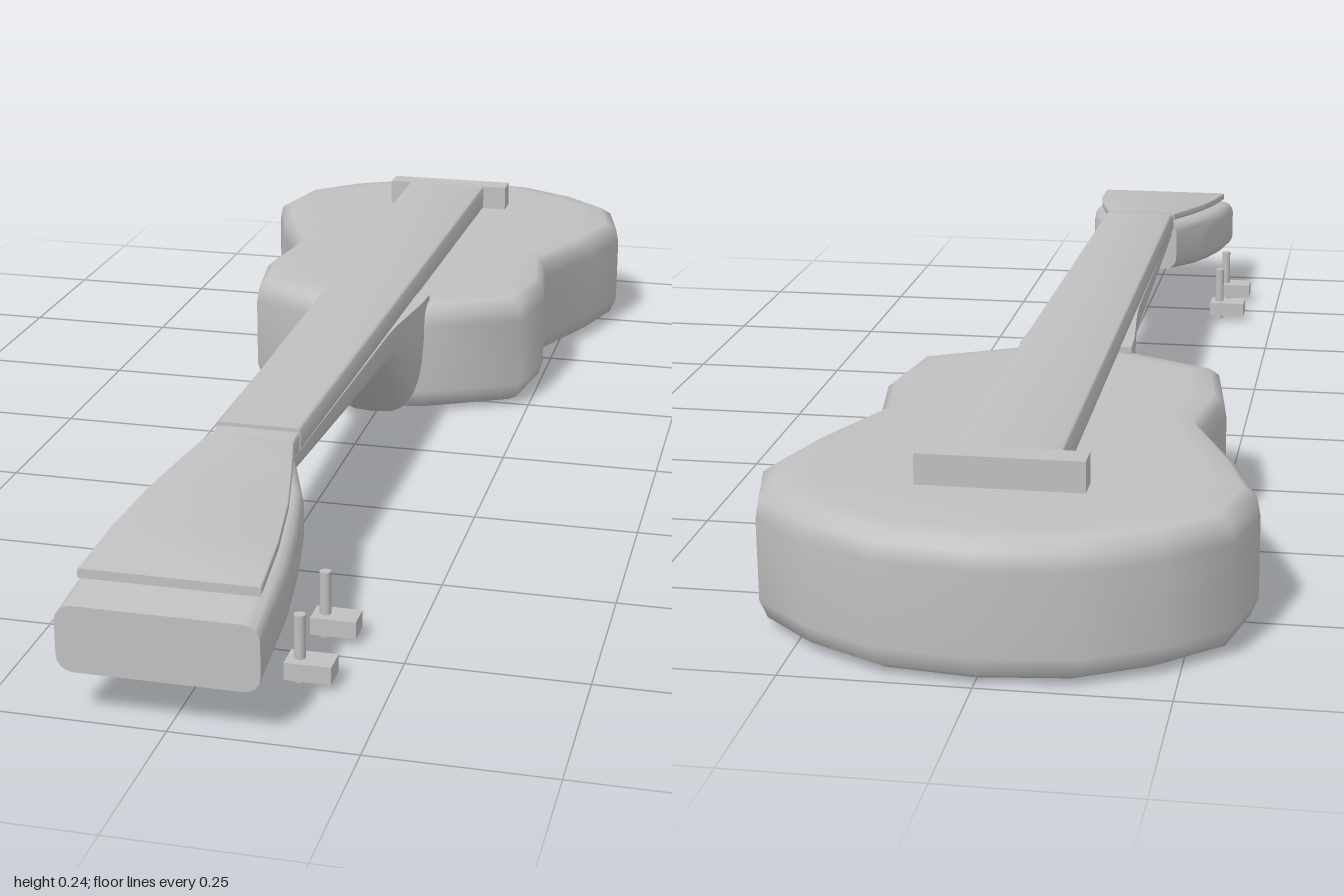
import * as THREE from 'three';
import { toCreasedNormals } from 'three/addons/utils/BufferGeometryUtils.js';

const grey = new THREE.MeshStandardMaterial({ color: 0xc0c0c0 });
grey.name = 'plain grey';

// Skin a list of equal-length point loops and close both ends with fans.
function loft(sections) {
  const n = sections[0].length, pos = [], index = [];
  sections.forEach(s => s.forEach(p => pos.push(...p)));
  for (let i = 0; i < sections.length - 1; i++) {
    for (let j = 0; j < n; j++) {
      const k = (j + 1) % n;
      const a = i * n + j, b = i * n + k, c = b + n, d = a + n;
      index.push(a, b, d, b, c, d);
    }
  }
  [0, sections.length - 1].forEach((s, end) => {
    const centre = pos.length / 3;
    const mid = [0, 1, 2].map(q => sections[s].reduce((t, p) => t + p[q], 0) / n);
    pos.push(...mid);
    for (let j = 0; j < n; j++) {
      const a = s * n + j, b = s * n + (j + 1) % n;
      index.push(centre, end ? a : b, end ? b : a);
    }
  });
  const g = new THREE.BufferGeometry();
  g.setAttribute('position', new THREE.Float32BufferAttribute(pos, 3));
  g.setIndex(index);
  g.computeVertexNormals();
  return g;
}

// Rounded rectangle across the instrument at depth z.
function roundRect(z, x0, x1, y0, y1, r) {
  const pts = [];
  const corners = [[x1 - r, y1 - r], [x0 + r, y1 - r], [x0 + r, y0 + r], [x1 - r, y0 + r]];
  corners.forEach(([cx, cy], q) => {
    for (let i = 0; i <= 4; i++) {
      const a = (q + i / 4) * Math.PI / 2;
      pts.push([cx + r * Math.cos(a), cy + r * Math.sin(a), z]);
    }
  });
  return pts;
}

// Flat-topped section with a rounded underside.
function uSection(z, x0, x1, y0, y1) {
  const pts = [], mid = (x0 + x1) / 2, w = (x1 - x0) / 2;
  for (let i = 0; i <= 16; i++) {
    const a = Math.PI * (1 + i / 16), c = Math.cos(a), s = Math.abs(Math.sin(a));
    pts.push([mid + w * Math.sign(c) * Math.abs(c) ** 0.6, y1 - (y1 - y0) * s ** 0.6, z]);
  }
  return pts;
}

export function createModel() {
  const model = new THREE.Group();
  function add(name, geometry, x = 0, y = 0, z = 0) {
    const mesh = new THREE.Mesh(geometry, grey);
    mesh.name = name;
    mesh.position.set(x, y, z);
    model.add(mesh);
  }
  const creased = sections => toCreasedNormals(loft(sections), 0.7);

  // Waisted body with softened top and bottom rims
  const half = [[0.08, -0.165], [0.235, -0.24], [0.255, -0.37], [0.235, -0.5], [0.30, -0.65],
    [0.335, -0.76], [0.31, -0.865], [0.23, -0.935], [0.13, -0.985]];
  const outline = [[0, -0.155], ...half, [0, -1], ...half.map(([x, z]) => [-x, z]).reverse()];
  const rings = [[0.8, 0.003], [0.91, 0.006], [0.97, 0.015], [1, 0.04], [1, 0.155],
    [0.985, 0.18], [0.93, 0.192], [0.8, 0.197]];
  add('body', loft(rings.map(([s, y]) => outline.map(([x, z]) => {
    const sz = 1 - (1 - s) * 0.5;
    return [x * s, y, -0.58 + (z + 0.58) * sz];
  }))));

  // Neck and heel in one sweep
  add('neck', creased([
    uSection(-0.2, -0.092, 0.083, 0.0, 0.205),
    uSection(-0.15, -0.09, 0.081, 0.003, 0.205),
    uSection(-0.02, -0.077, 0.065, 0.125, 0.205),
    uSection(0.03, -0.074, 0.062, 0.134, 0.205),
    uSection(0.58, -0.066, 0.053, 0.17, 0.207),
  ]));

  // Fretboard, nut and bridge
  add('fretboard', creased([
    roundRect(-0.785, -0.08, 0.067, 0.195, 0.24, 0.006),
    roundRect(0.545, -0.068, 0.054, 0.204, 0.239, 0.006),
  ]));
  add('nut', creased([
    roundRect(0.546, -0.068, 0.053, 0.2, 0.234, 0.005),
    roundRect(0.576, -0.068, 0.053, 0.2, 0.232, 0.005),
  ]));
  add('bridge', new THREE.BoxGeometry(0.225, 0.048, 0.04), -0.003, 0.216, -0.803);

  // Flared, tilted headstock and its face plate
  const head = [[0.575, -0.074, 0.056], [0.67, -0.11, 0.092], [0.76, -0.127, 0.108],
    [0.85, -0.138, 0.119], [1, -0.143, 0.124]];
  add('headstock', creased(head.map(([z, x0, x1]) => {
    const t = (z - 0.575) / 0.425;
    return roundRect(z, x0, x1, 0.125 - 0.057 * t, 0.216 - 0.056 * t, 0.022);
  })));
  const plate = [[0.575, -0.07, 0.053], [0.65, -0.088, 0.071], [0.74, -0.107, 0.09],
    [0.84, -0.121, 0.104], [0.95, -0.129, 0.112]];
  add('headstockPlate', creased(plate.map(([z, x0, x1]) => {
    const top = 0.233 - 0.045 * (z - 0.575) / 0.375;
    return roundRect(z, x0, x1, top - 0.013, top, 0.003);
  })));

  // Two tuners on each side
  for (const [side, postX, buttonX] of [['left', 0.128, 0.143], ['right', -0.146, -0.162]]) {
    for (const z of [0.695, 0.83]) {
      add(side + 'TunerPost', new THREE.CylinderGeometry(0.008, 0.008, 0.097, 10), postX, 0.0485, z);
      add(side + 'TunerButton', new THREE.BoxGeometry(0.064, 0.025, 0.04), buttonX, 0.022, z);
    }
  }
  return model;
}
